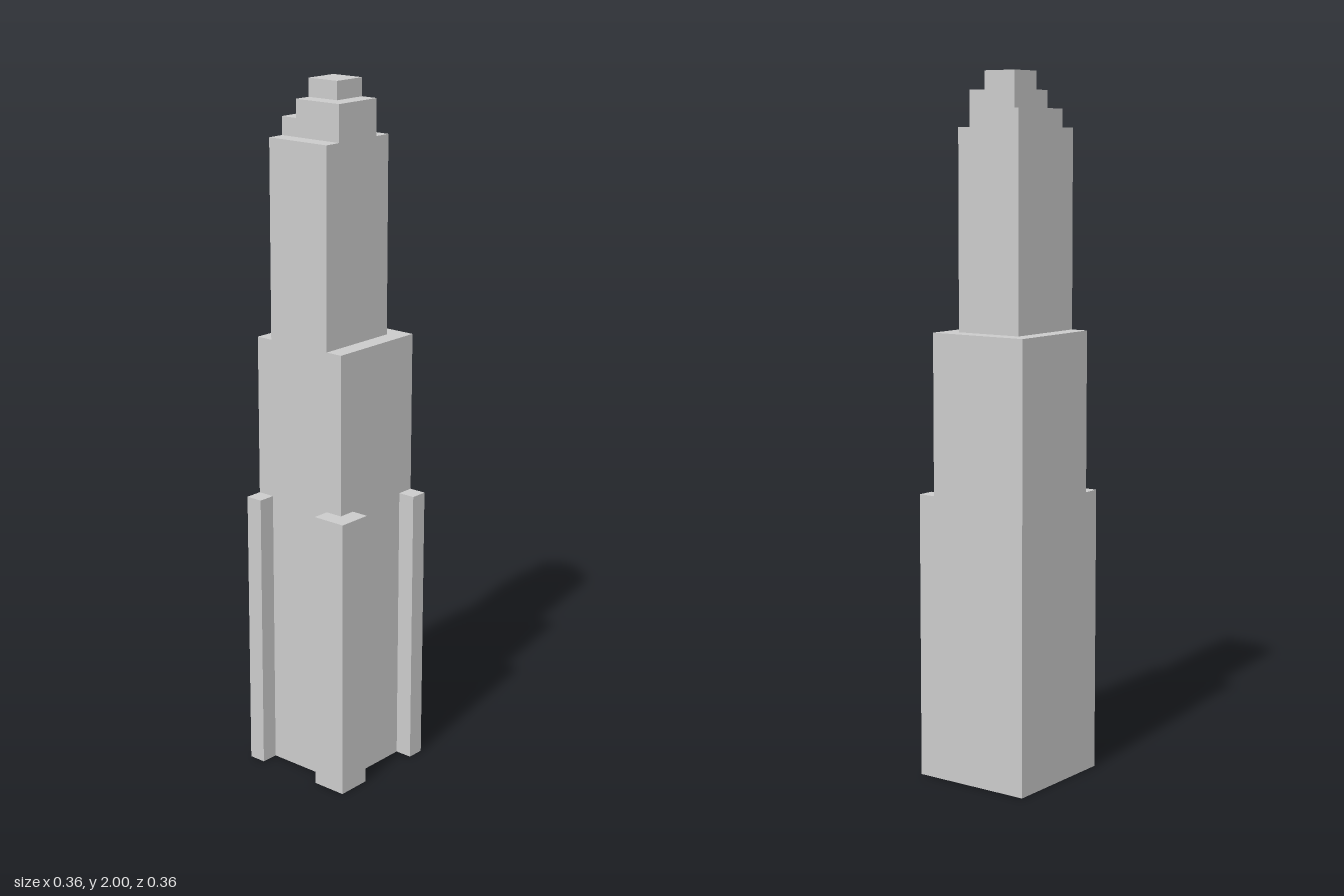
import * as THREE from 'three';
import { mergeGeometries } from 'three/addons/utils/BufferGeometryUtils.js';

// The tower sits on a 7 x 7 plan grid and is 39 units tall.
const UNIT = 2 / 39;
const toPlan = (v) => (v - 3.5) * UNIT;

const rect = (x0, z0, x1, z1) => [[x0, z0], [x1, z0], [x1, z1], [x0, z1]];

// Each tier: outline in plan (x, z), seen from above, and its bottom and top heights.
const TIERS = [
  // base with corner buttresses
  { name: 'buttressedBase', from: 0, to: 16, outline: [
    [0, 0], [7, 0], [7, 7], [6, 7], [6, 6], [2, 6],
    [2, 7], [0, 7], [0, 5], [1, 5], [1, 1], [0, 1],
  ] },
  { name: 'middleTier', from: 16, to: 25, outline: rect(1, 0, 7, 6) },
  { name: 'upperTower', from: 25, to: 36, outline: rect(1, 1, 6, 5) },
  // stepped crown
  { name: 'crownLowerStep', from: 36, to: 37, outline: [[2, 1], [6, 1], [6, 4], [5, 4], [5, 5], [2, 5]] },
  { name: 'crownUpperStep', from: 37, to: 38, outline: rect(2, 2, 5, 5) },
  { name: 'topBlock', from: 38, to: 39, outline: rect(3, 2, 5, 4) },
];

// Hollow tier: one wall per outline edge plus a flat roof, open underneath.
function tierGeometry({ outline, from, to }) {
  const points = outline.map(([x, z]) => [toPlan(x), toPlan(z)]);
  const y0 = from * UNIT;
  const y1 = to * UNIT;

  const corners = [];
  points.forEach(([ax, az], i) => {
    const [bx, bz] = points[(i + 1) % points.length];
    corners.push(ax, y0, az, ax, y1, az, bx, y1, bz);
    corners.push(ax, y0, az, bx, y1, bz, bx, y0, bz);
  });
  const walls = new THREE.BufferGeometry();
  walls.setAttribute('position', new THREE.Float32BufferAttribute(corners, 3));
  walls.computeVertexNormals();

  const shape = new THREE.Shape(points.map(([x, z]) => new THREE.Vector2(x, -z)));
  const roof = new THREE.ShapeGeometry(shape).toNonIndexed();
  roof.deleteAttribute('uv');
  roof.rotateX(-Math.PI / 2).translate(0, y1, 0);

  return mergeGeometries([walls, roof]);
}

export function createModel() {
  const model = new THREE.Group();
  model.name = 'steppedTower';
  const material = new THREE.MeshStandardMaterial({
    color: 0xcccccc, flatShading: true, side: THREE.DoubleSide,
  });
  for (const tier of TIERS) {
    const mesh = new THREE.Mesh(tierGeometry(tier), material);
    mesh.name = tier.name;
    model.add(mesh);
  }
  return model;
}
